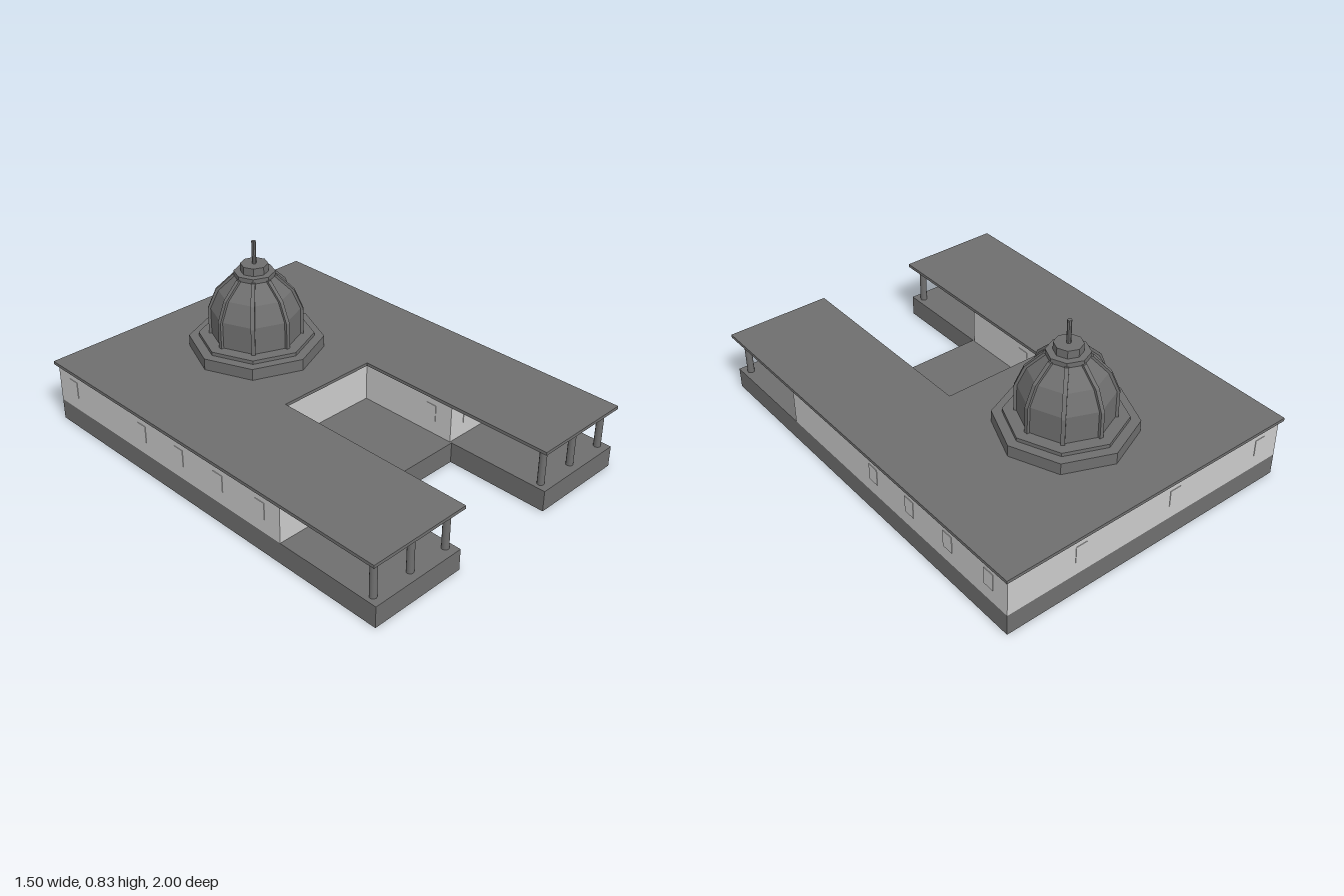
import * as THREE from 'three';

export function createModel() {
  const model = new THREE.Group();
  const mat = (color, flatShading = false) =>
    new THREE.MeshStandardMaterial({ color, flatShading, side: THREE.DoubleSide });
  const dark = mat(0x6f6f6f);
  const domeMat = mat(0x6f6f6f, true);
  const light = mat(0xcccccc);

  const add = (name, geometry, material, x = 0, y = 0, z = 0, parent = model) => {
    const mesh = new THREE.Mesh(geometry, material);
    mesh.name = name;
    mesh.position.set(x, y, z);
    parent.add(mesh);
    return mesh;
  };

  // Plan outlines as [x, z] points, mirrored from the +x half
  const mirrored = half => [...half, ...half.map(([x, z]) => [-x, z]).reverse()];
  const planShape = pts => new THREE.Shape(pts.map(([x, z]) => new THREE.Vector2(x, -z)));
  const slab = (pts, height) =>
    new THREE.ExtrudeGeometry(planShape(pts), { depth: height, bevelEnabled: false }).rotateX(-Math.PI / 2);

  // Closed ring of thin upright panels along an outline
  const ring = (name, pts, y0, y1, material) => {
    const group = new THREE.Group();
    group.name = name;
    pts.forEach(([x, z], i) => {
      const [x2, z2] = pts[(i + 1) % pts.length];
      const panel = new THREE.PlaneGeometry(Math.hypot(x2 - x, z2 - z), y1 - y0);
      add('panel', panel, material, (x + x2) / 2, (y0 + y1) / 2, (z + z2) / 2, group)
        .rotation.y = -Math.atan2(z2 - z, x2 - x);
    });
    model.add(group);
  };

  const W = 0.735, C = 0.265, BACK = -0.985, FRONT = 0.49, COURT = -0.015;

  // Hollow plinth, open underneath
  ring('plinth', mirrored([[C, 0.5], [C, 1], [W, 1], [W, BACK]]), 0, 0.1, dark);

  // Porch and courtyard floor
  const floorPts = mirrored([[C, COURT], [C, FRONT], [W, FRONT], [W, 1], [C, 1], [C, 0.5]]);
  // The outline splits into one court and two porches
  add('courtFloor', new THREE.PlaneGeometry(2 * C, 0.5 - COURT).rotateX(-Math.PI / 2), dark,
    0, 0.1, (0.5 + COURT) / 2);
  const porchWidth = floorPts[2][0] - floorPts[0][0];
  for (const s of [-1, 1]) {
    add('porchFloor', new THREE.PlaneGeometry(porchWidth, 1 - FRONT).rotateX(-Math.PI / 2), dark,
      s * (C + W) / 2, 0.1, (1 + FRONT) / 2);
  }

  // Walls around the rooms and courtyard
  ring('walls', mirrored([[C, COURT], [C, FRONT], [W, FRONT], [W, BACK]]), 0.1, 0.285, light);

  // Shallow windows: [x, z, faces sideways]
  const windows = [
    [0.375, FRONT, 0], [-0.375, FRONT, 0],
    [0.375, BACK, 0], [-0.125, BACK, 0], [-0.625, BACK, 0],
    ...[-0.125, -0.375, -0.625, -0.875].map(z => [W, z, 1]),
    ...[0.375, 0.125, -0.125, -0.375, -0.875].map(z => [-W, z, 1]),
    [-C, 0.125, 1], [C, 0.375, 1],
  ];
  for (const [x, z, side] of windows) {
    add('window', new THREE.BoxGeometry(0.055, 0.08, 0.005), light, x, 0.205, z)
      .rotation.y = side * Math.PI / 2;
  }

  // Roof slab and the ceiling layer below it
  add('roof', slab(mirrored([[0.25, 0], [0.25, 1], [0.75, 1], [0.75, -1]]), 0.015), dark, 0, 0.285);
  add('ceiling', slab(mirrored([[C, COURT], [C, 0.985], [W, 0.985], [W, BACK]]), 0.008), dark, 0, 0.278);

  // Porch columns
  for (const s of [-1, 1]) {
    for (const x of [0.3, 0.5, 0.7]) {
      add('column', new THREE.CylinderGeometry(0.016, 0.016, 0.185, 12), dark, s * x, 0.1925, 0.952);
    }
  }

  // Eight-sided dome
  const dome = new THREE.Group();
  dome.name = 'dome';
  dome.position.z = -0.465;
  model.add(dome);
  const tier = (name, r, y0, y1, sides = 8) =>
    add(name, new THREE.CylinderGeometry(r, r, y1 - y0, sides), domeMat, 0, (y0 + y1) / 2, 0, dome);
  tier('domeBase', 0.31, 0.3, 0.355);
  tier('domeStep', 0.265, 0.355, 0.372);
  const profile = [[0.207, 0.372], [0.207, 0.5], [0.168, 0.59], [0.09, 0.665]]
    .map(([r, y]) => new THREE.Vector2(r, y));
  add('domeShell', new THREE.LatheGeometry(profile, 8), domeMat, 0, 0, 0, dome);

  // Ribs along the dome corners
  const ribShape = new THREE.Shape([
    [0.195, 0.372], [0.216, 0.372], [0.216, 0.498], [0.177, 0.593], [0.1, 0.668],
    [0.08, 0.668], [0.158, 0.585], [0.195, 0.498],
  ].map(([r, y]) => new THREE.Vector2(r, y)));
  const ribGeometry = new THREE.ExtrudeGeometry(ribShape, { depth: 0.018, bevelEnabled: false })
    .translate(0, 0, -0.009);
  for (let i = 0; i < 8; i++) {
    add('rib', ribGeometry, domeMat, 0, 0, 0, dome).rotation.y = i * Math.PI / 4;
  }

  // Crown and spire
  tier('crownStep', 0.094, 0.663, 0.685);
  tier('crown', 0.063, 0.685, 0.722);
  tier('spire', 0.01, 0.722, 0.83);

  return model;
}
